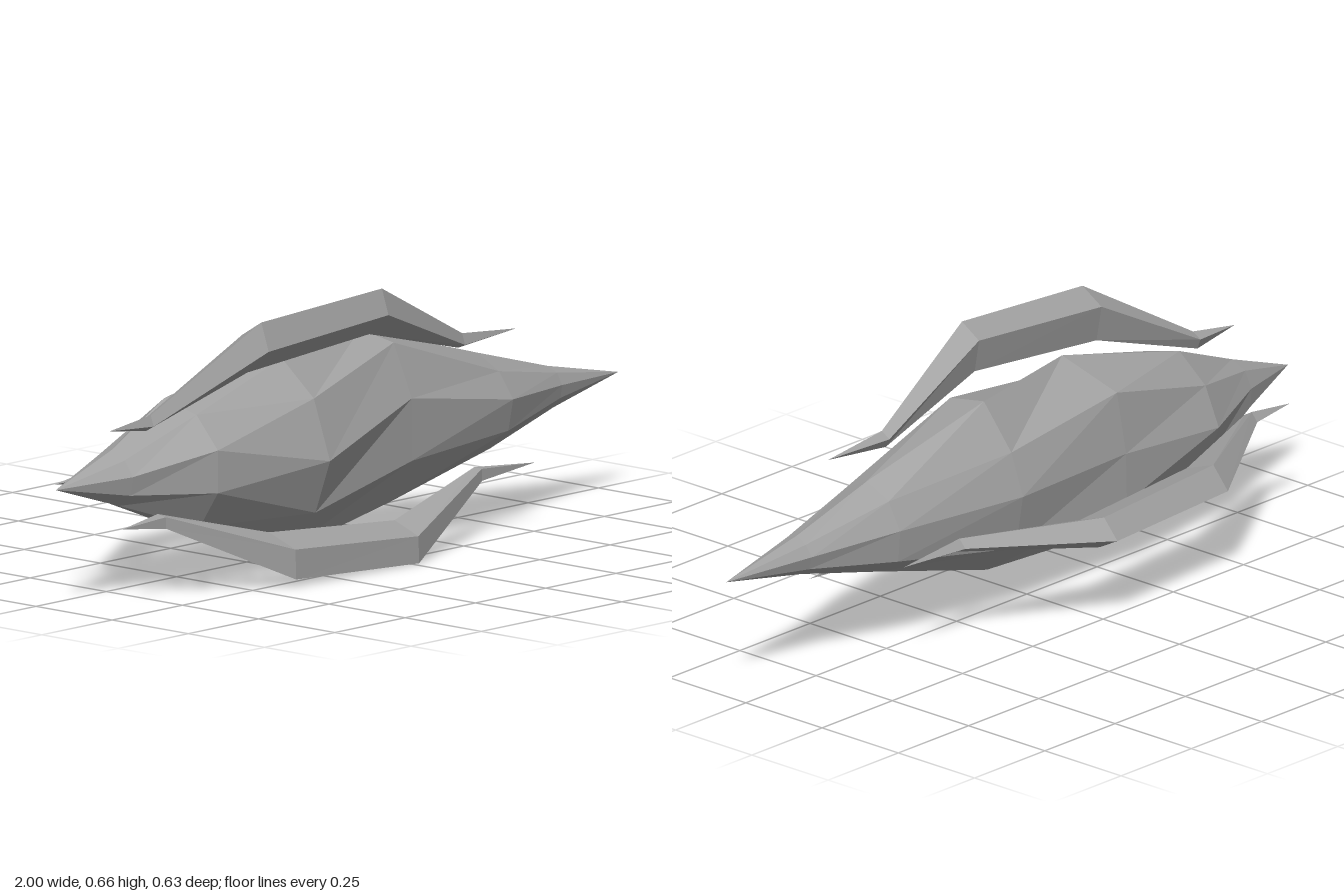
import * as THREE from 'three';

const AXIS_Y = 0.294, AXIS_Z = 0.065;

// Closed surface through rings of [x, y, z] points; first and last rings may be single-point tips.
function loft(rings) {
  const n = Math.max(...rings.map((r) => r.length));
  const at = (i, j) => rings[i][j % rings[i].length];
  const pos = [];
  for (let i = 0; i < rings.length - 1; i++) {
    for (let j = 0; j < n; j++) {
      const a = at(i, j), b = at(i + 1, j), c = at(i + 1, j + 1), d = at(i, j + 1);
      if (rings[i + 1].length > 1) pos.push(...a, ...b, ...c);
      if (rings[i].length > 1) pos.push(...a, ...c, ...d);
    }
  }
  const geo = new THREE.BufferGeometry();
  geo.setAttribute('position', new THREE.Float32BufferAttribute(pos, 3));
  geo.computeVertexNormals();
  return geo;
}

// Nine-sided ring around the long axis, with slight unevenness.
function ring(x, radius, startDeg, uneven = 0.05) {
  return Array.from({ length: 9 }, (_, j) => {
    const a = THREE.MathUtils.degToRad(startDeg + j * 40);
    const r = radius * (1 + uneven * Math.sin(j * 2.4 + x * 5));
    return [x, r * Math.sin(a), r * Math.cos(a)];
  });
}

// Ring from explicit [z, y] offsets.
const section = (x, pts) => pts.map(([z, y]) => [x, y, z]);

export function createModel() {
  const stone = new THREE.MeshStandardMaterial({ color: 0xa0a0a0, flatShading: true });
  const model = new THREE.Group();
  model.name = 'spindleWithFins';

  // Faceted, slightly twisted central spindle
  const body = new THREE.Mesh(loft([
    [[-1, 0, 0]],
    ring(-0.8, 0.068, 10),
    ring(-0.58, 0.157, 21),
    section(-0.25, [
      [0.208, -0.01], [0.155, 0.137], [0.05, 0.222], [-0.13, 0.172], [-0.16, 0.022],
      [-0.163, -0.103], [-0.065, -0.211], [0.055, -0.258], [0.16, -0.143],
    ]),
    section(0.12, [
      [0.135, 0.081], [0.075, 0.21], [-0.035, 0.229], [-0.125, 0.12], [-0.163, 0.015],
      [-0.14, -0.123], [-0.045, -0.203], [0.06, -0.185], [0.135, -0.073],
    ]),
    ring(0.5, 0.115, 10),
    ring(0.75, 0.049, 12),
    [[1, 0, 0]],
  ]), stone);
  body.name = 'body';
  body.position.set(0, AXIS_Y, AXIS_Z);
  model.add(body);

  // Curved fin with a diamond section: [x, inner, side, outer radius, half width]
  const stations = [
    [-0.72, 0.117, 0.138, 0.16, 0.018],
    [-0.4, 0.225, 0.305, 0.362, 0.046],
    [0.02, 0.262, 0.335, 0.387, 0.041],
    [0.37, 0.168, 0.185, 0.208, 0.018],
  ];
  const finGeo = loft([
    [[-0.86, 0, 0.138]],
    ...stations.map(([x, inner, side, outer, w]) =>
      section(x, [[outer, 0], [side, w], [inner, 0], [side, -w]])),
    [[0.57, 0, 0.189]],
  ]);

  // Three fins evenly spaced around the spindle
  for (let i = 0; i < 3; i++) {
    const fin = new THREE.Mesh(finGeo, stone);
    fin.name = `fin${i + 1}`;
    fin.position.set(0, AXIS_Y, AXIS_Z);
    fin.rotation.x = -THREE.MathUtils.degToRad(70.5 + i * 120);
    model.add(fin);
  }
  return model;
}
